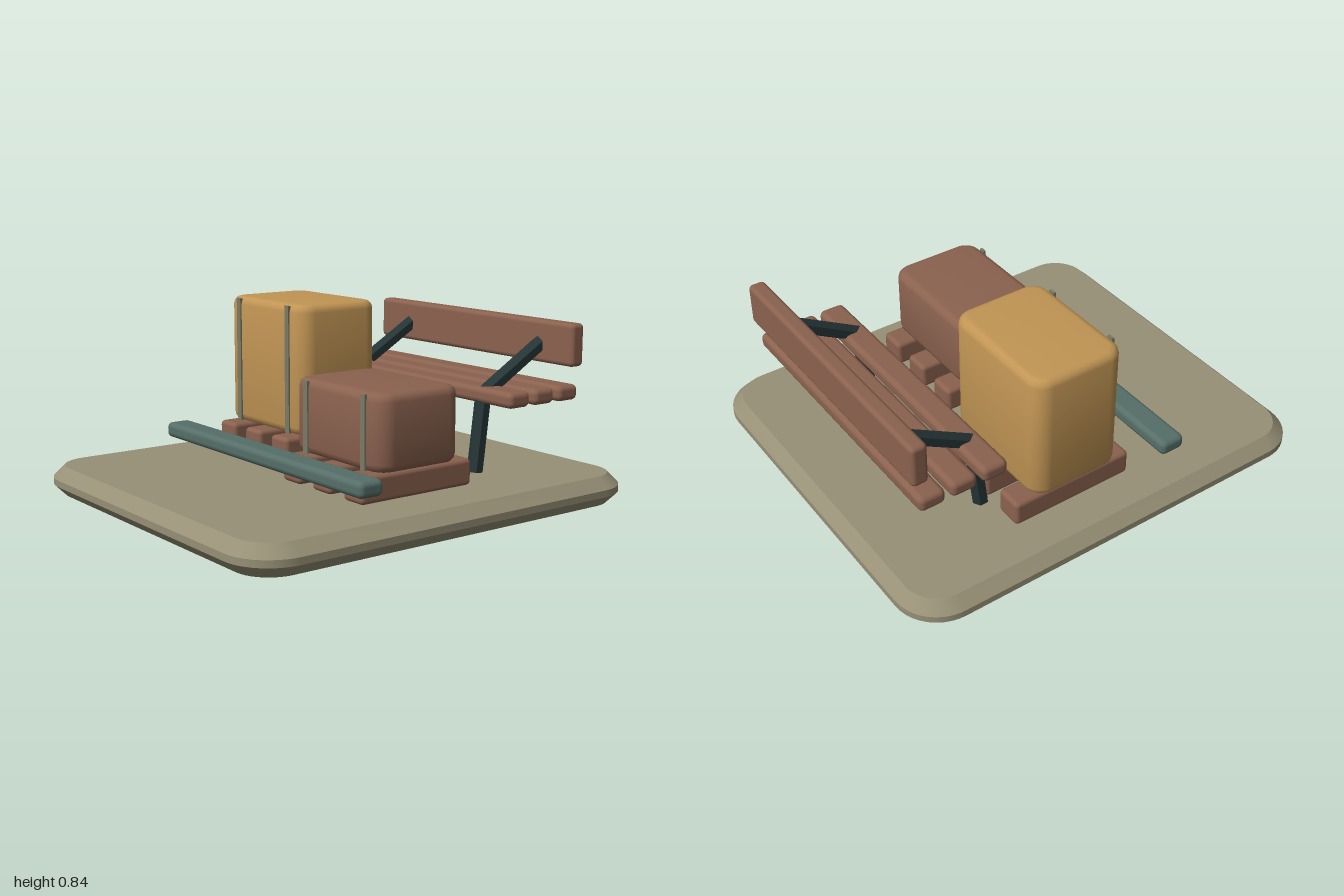
import * as THREE from 'three';
import { toCreasedNormals } from 'three/addons/utils/BufferGeometryUtils.js';
import { RoundedBoxGeometry } from 'three/addons/geometries/RoundedBoxGeometry.js';

const mat = (name, color) => {
  const m = new THREE.MeshStandardMaterial({ color });
  m.name = name;
  return m;
};

// Upright block: rounded-rectangle plan extruded along y, with bevelled rims
function slab(w, h, d, radius, bevel, steps, crease) {
  const x = w / 2 - bevel, y = d / 2 - bevel, r = radius - bevel;
  const s = new THREE.Shape();
  s.moveTo(-x + r, -y);
  s.absarc(x - r, -y + r, r, -Math.PI / 2, 0);
  s.absarc(x - r, y - r, r, 0, Math.PI / 2);
  s.absarc(-x + r, y - r, r, Math.PI / 2, Math.PI);
  s.absarc(-x + r, -y + r, r, Math.PI, Math.PI * 1.5);
  const g = new THREE.ExtrudeGeometry(s, {
    depth: h - 2 * bevel, bevelThickness: bevel, bevelSize: bevel,
    bevelSegments: steps, curveSegments: 5,
  });
  g.rotateX(-Math.PI / 2);
  g.translate(0, bevel, 0);
  return toCreasedNormals(g, crease);
}

export function createModel() {
  const root = new THREE.Group();
  root.name = 'benchWithCrates';
  const stone = mat('stone', 0x979076);
  const wood = mat('brownWood', 0x8b624f);
  const ochre = mat('ochre', 0xc19554);
  const teal = mat('tealPaint', 0x566f68);
  const iron = mat('darkIron', 0x263637);
  const strapGrey = mat('strapGrey', 0x7c7a66);

  const add = (parent, name, geo, material, x, y, z) => {
    const m = new THREE.Mesh(geo, material);
    m.name = name;
    m.position.set(x, y, z);
    parent.add(m);
    return m;
  };
  const group = (name) => {
    const g = new THREE.Group();
    g.name = name;
    root.add(g);
    return g;
  };
  const board = (w, h, d, r = 0.02) => new RoundedBoxGeometry(w, h, d, 2, r);

  // Ground slab
  add(root, 'base', slab(1.76, 0.13, 2, 0.2, 0.05, 1, 0.5), stone, 0, 0, 0);

  // Bench: three seat slats and a back board
  const bench = group('bench');
  for (let i = 0; i < 3; i++)
    add(bench, 'seatSlat', board(1.31, 0.07, 0.12, 0.025), wood, 0, 0.47, -0.5 - 0.145 * i);
  add(bench, 'backBoard', board(1.31, 0.19, 0.075), wood, 0, 0.675, -0.84);

  // Six-sided iron bars between two points
  const bar = (name, x, y0, z0, y1, z1) => {
    const len = Math.hypot(y1 - y0, z1 - z0);
    const geo = toCreasedNormals(new THREE.CylinderGeometry(0.036, 0.036, len, 6), 0.9);
    const m = add(bench, name, geo, iron, x, (y0 + y1) / 2, (z0 + z1) / 2);
    m.rotation.x = Math.atan2(z1 - z0, y1 - y0);
  };
  for (const x of [-0.445, 0.445]) {
    bar('leg', x, 0.13, -0.438, 0.47, -0.48);
    bar('backSupport', x, 0.472, -0.48, 0.675, -0.835);
  }

  // Strapped crates, each on three runners
  const crate = (name, material, x, z, height, runnerZ) => {
    const g = group(name);
    for (const dx of [-0.21, 0, 0.21])
      add(g, 'runner', board(0.126, 0.115, 0.58), wood, x + dx, 0.1975, runnerZ);
    add(g, 'crateBody', slab(0.595, height, 0.435, 0.08, 0.035, 3, 0.6), material, x, 0.255, z);
    for (const dx of [-0.193, 0.193])
      add(g, 'strap', new THREE.BoxGeometry(0.03, height - 0.012, 0.012), strapGrey,
        x + dx, 0.255 + height / 2, z + 0.2185);
  };
  crate('tallCrate', ochre, -0.398, -0.12, 0.585, -0.125);
  crate('lowCrate', wood, 0.368, 0.052, 0.32, 0.05);

  // Front rail
  add(root, 'frontRail', board(1.47, 0.07, 0.12, 0.025), teal, 0, 0.23, 0.36);

  return root;
}
